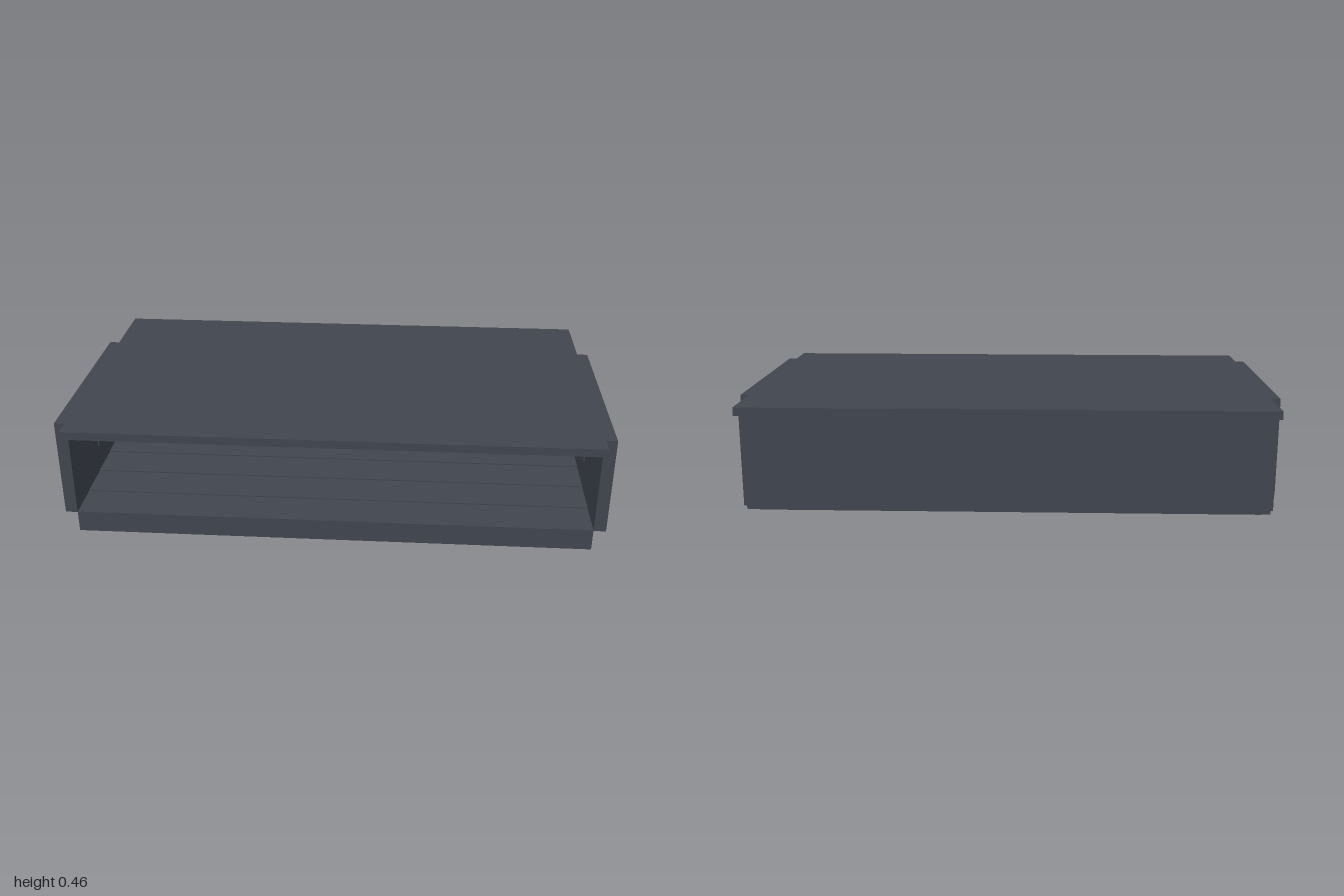
import * as THREE from 'three';

export function createModel() {
  const model = new THREE.Group();
  const mat = (name, color) => Object.assign(new THREE.MeshStandardMaterial({ color }), { name });
  const slate = mat('slate', 0x40454f);
  const grey = mat('bench grey', 0x6f706f);
  const cyan = mat('pale cyan light', 0xa3d3d8);

  // Box given by its limits on each axis
  const box = (name, x0, x1, y0, y1, z0, z1, material = slate) => {
    const mesh = new THREE.Mesh(new THREE.BoxGeometry(x1 - x0, y1 - y0, z1 - z0), material);
    mesh.position.set((x0 + x1) / 2, (y0 + y1) / 2, (z0 + z1) / 2);
    mesh.name = name;
    model.add(mesh);
    return mesh;
  };
  const W = 0.955;

  // Main shell
  box('base', -W, W, 0, 0.08, -0.295, 0.47);
  box('roof', -W, W, 0.43, 0.46, -0.555, 0.555);
  for (const s of [-1, 1]) {
    const a = s * W, b = s;
    box('sideWall', Math.min(a, b), Math.max(a, b), 0.08, 0.45, -0.3, 0.47);
    const c = s * (W - 0.005);
    box('wallPlate', Math.min(a, c), Math.max(a, c), 0.19, 0.25, 0.08, 0.15);
  }

  // Hall floor of shallow boards, each a hair higher than the one in front
  const boards = 5, depth = 0.765 / boards;
  for (let i = 0; i < boards; i++) {
    const z = 0.47 - i * depth;
    box('floorBoard', -W, W, 0.079, 0.082 + i * 0.004, z - depth, z);
  }

  // Rear corridor, closed at the right end and open at the left
  box('corridorFloor', -W, W, 0.055, 0.098, -0.455, -0.295);
  box('backWall', -W, W, 0.08, 0.43, -0.49, -0.447);
  box('corridorEndWall', -W, -0.935, 0.08, 0.43, -0.447, -0.305);

  // Partition with five bays, the last one open to the end
  const partition = new THREE.Shape();
  partition.moveTo(-W, 0.098);
  partition.lineTo(W, 0.098);
  partition.lineTo(W, 0.115);
  partition.lineTo(0.592, 0.115);
  partition.lineTo(0.592, 0.4);
  partition.lineTo(W, 0.4);
  partition.lineTo(W, 0.43);
  partition.lineTo(-W, 0.43);
  partition.closePath();
  for (let i = 0; i < 4; i++) {
    const x0 = -0.935 + i * 0.382, x1 = x0 + 0.363;
    const hole = new THREE.Path();
    hole.moveTo(x0, 0.115);
    hole.lineTo(x0, 0.4);
    hole.lineTo(x1, 0.4);
    hole.lineTo(x1, 0.115);
    hole.closePath();
    partition.holes.push(hole);
  }
  const partitionMesh = new THREE.Mesh(
    new THREE.ExtrudeGeometry(partition, { depth: 0.01, bevelEnabled: false }), slate);
  partitionMesh.position.z = -0.305;
  partitionMesh.name = 'partition';
  model.add(partitionMesh);

  // Back wall panels, displays and slatted benches, one per bay
  const panelX = [-0.71, -0.44, 0, 0.44, 0.71];
  for (let i = 0; i < 5; i++) {
    const p = panelX[i];
    box('wallPanel', p - 0.083, p + 0.083, 0.098, 0.4, -0.447, -0.445);
    const d = -0.768 + i * 0.384;
    box('display', d - 0.026, d + 0.026, 0.324, 0.344, -0.446, -0.441, cyan);
    const b = -0.735 + i * 0.382;
    for (let j = 0; j < 3; j++) {
      const z = -0.447 + j * 0.025;
      box('benchSlat', b - 0.092, b + 0.092, 0.121, 0.132, z, z + 0.022, grey);
    }
  }

  // Ceiling lights
  for (const x of [-0.717, -0.243, 0.243, 0.717]) {
    box('ceilingLight', x - 0.118, x + 0.118, 0.422, 0.431, 0, 0.12, cyan);
  }

  return model;
}
